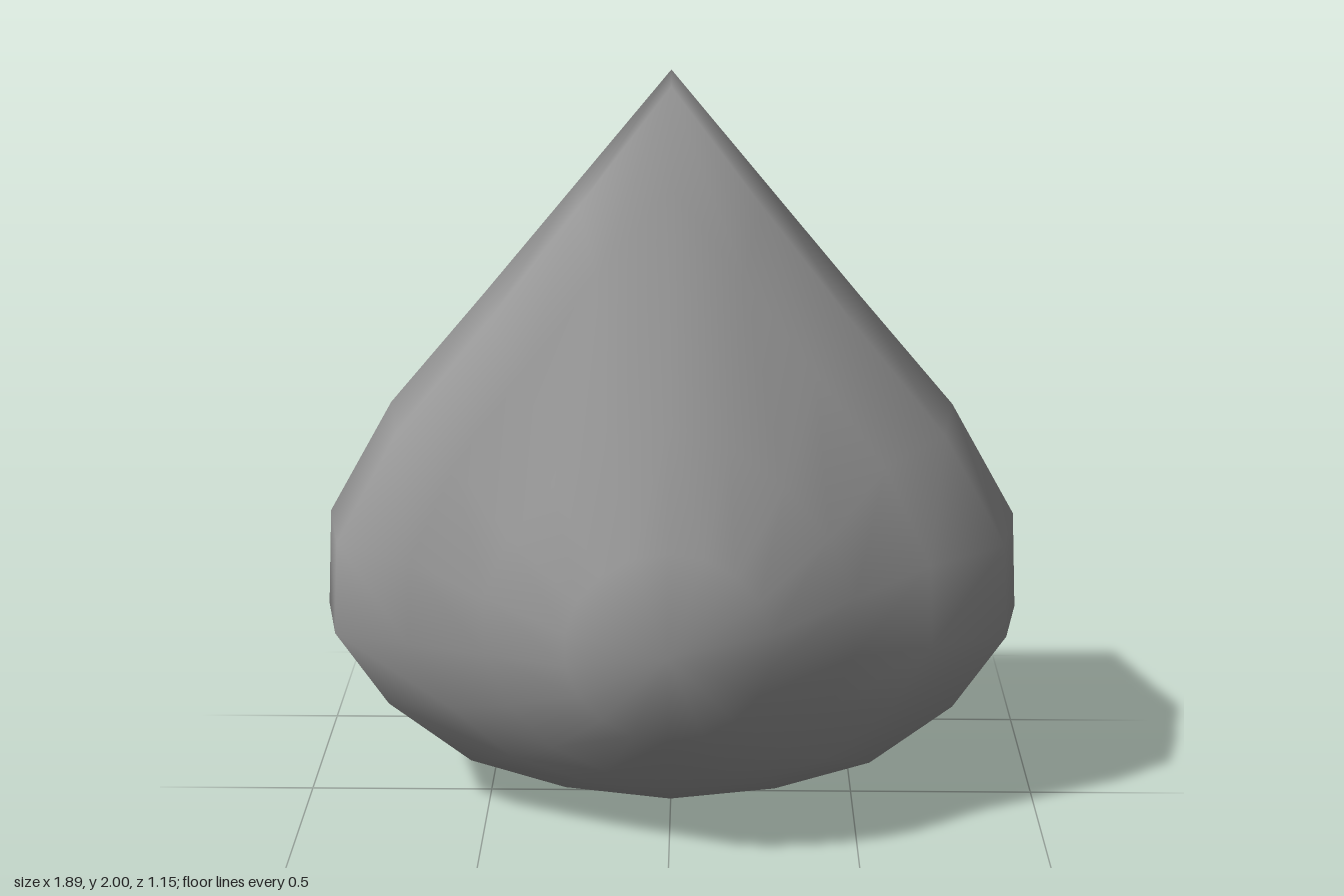
import * as THREE from 'three';

// Right half of the drop outline, apex to base
const HALF = [[0, 2], [0.25, 1.7], [0.5, 1.4], [0.755, 1.1], [0.93, 0.79], [0.945, 0.52], [0.8, 0.3], [0.57, 0.12], [0.3, 0.035], [0, 0]];
const WIDTH = 0.945;
const MID = 0.63;

// Contours from front to back: half width, bottom, top, depth, depth at the tip,
// tip falloff and how drop-like (1) or elliptical (0) the contour is
const LAYERS = [
  { w: 0.265, bottom: 0.38, top: 0.89, z: 0.52, tipZ: 0.52, fall: 2, drop: 0 },
  { w: 0.485, bottom: 0.2, top: 1.17, z: 0.37, tipZ: 0.34, fall: 2, drop: 0.3 },
  { w: 0.69, bottom: 0.12, top: 1.73, z: 0.265, tipZ: 0.1, fall: 1.7, drop: 0.9 },
  { w: 0.895, bottom: 0.05, top: 1.96, z: 0.16, tipZ: -0.06, fall: 3, drop: 1 },
  { w: 0.945, bottom: 0, top: 2, z: -0.09, tipZ: -0.09, fall: 1, drop: 1 },
  { w: 0.715, bottom: 0.17, top: 1.5, z: -0.35, tipZ: -0.31, fall: 2, drop: 0.7 },
  { w: 0.48, bottom: 0.26, top: 1.29, z: -0.445, tipZ: -0.44, fall: 2, drop: 0.4 },
  { w: 0.26, bottom: 0.45, top: 1.0, z: -0.53, tipZ: -0.51, fall: 2, drop: 0 },
];

// Full contour of one layer, clockwise from the tip
function contour({ w, bottom, top, z, tipZ, fall, drop }) {
  const steps = HALF.length - 1;
  const points = [];
  for (let i = 0; i < steps * 2; i++) {
    const [hx, hy] = HALF[i <= steps ? i : steps * 2 - i];
    const side = i <= steps ? 1 : -1;
    const angle = (i / steps) * Math.PI;
    const u = THREE.MathUtils.lerp(Math.sin(angle), (side * hx) / WIDTH, drop);
    const v = THREE.MathUtils.lerp(Math.cos(angle), (hy - MID) / (hy > MID ? 2 - MID : MID), drop);
    const y = MID + v * (v > 0 ? top - MID : MID - bottom);
    const depth = THREE.MathUtils.lerp(z, tipZ, Math.pow(Math.max(v, 0), fall));
    points.push([u * w, y, depth]);
  }
  return points;
}

export function createModel() {
  const rings = LAYERS.map(contour);
  const n = rings[0].length;
  const positions = rings.flat(2);
  const front = rings.length * n;
  const back = front + 1;
  positions.push(0, 0.63, 0.575, 0, 0.72, -0.575);

  const index = [];
  for (let i = 0; i < n; i++) {
    const j = (i + 1) % n;
    // Skin between neighbouring contours
    for (let l = 0; l < rings.length - 1; l++) {
      const a = l * n + i, b = l * n + j, c = a + n, d = b + n;
      // Mirror the diagonal so both halves match
      if (i < n / 2) index.push(a, b, c, b, d, c);
      else index.push(a, b, d, a, d, c);
    }
    // Closing fans at the front and back bulges
    const last = (rings.length - 1) * n;
    index.push(front, j, i, back, last + i, last + j);
  }

  const geometry = new THREE.BufferGeometry();
  geometry.setAttribute('position', new THREE.Float32BufferAttribute(positions, 3));
  geometry.setIndex(index);
  geometry.computeVertexNormals();

  const material = new THREE.MeshStandardMaterial({ color: 0x999999 });
  const body = new THREE.Mesh(geometry, material);
  body.name = 'dropBody';
  const group = new THREE.Group();
  group.name = 'drop';
  group.add(body);
  return group;
}
